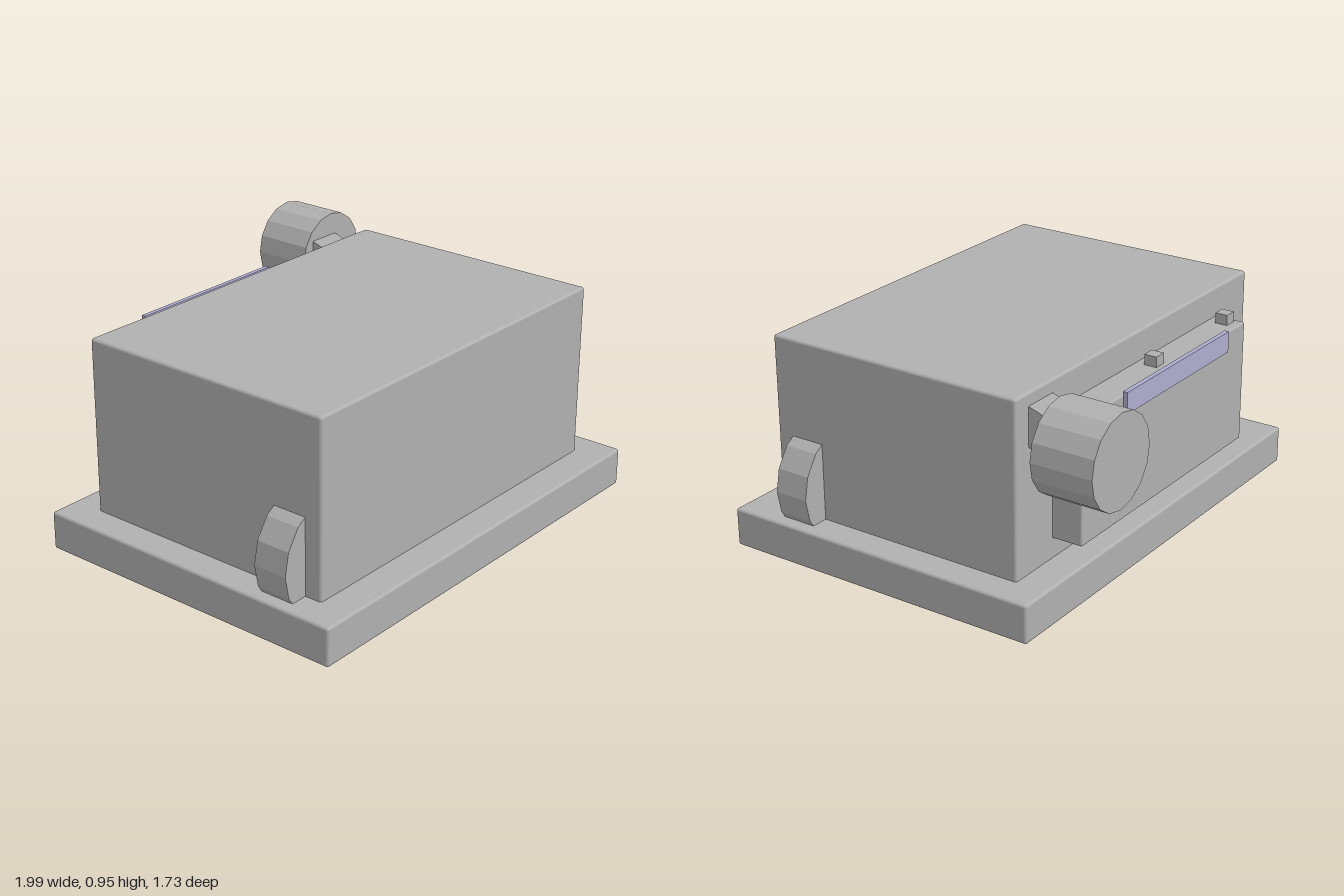
import * as THREE from 'three';
import { RoundedBoxGeometry } from 'three/addons/geometries/RoundedBoxGeometry.js';

export function createModel() {
  const model = new THREE.Group();
  model.name = 'boxyMachine';

  const grey = new THREE.MeshStandardMaterial({ color: 0xb0b0b0 });
  grey.name = 'plain grey';
  const greyFaceted = new THREE.MeshStandardMaterial({ color: 0xb0b0b0, flatShading: true });
  greyFaceted.name = 'plain grey faceted';
  const lilac = new THREE.MeshStandardMaterial({ color: 0xaeacce });
  lilac.name = 'pale lilac';

  const add = (name, geometry, material, x, y, z) => {
    const mesh = new THREE.Mesh(geometry, material);
    mesh.name = name;
    mesh.position.set(x, y, z);
    model.add(mesh);
    return mesh;
  };

  // Box given by its lower and upper corners, with softened edges
  const block = (name, lo, hi, material = grey, radius = 0.012) => {
    const s = hi.map((v, i) => v - lo[i]);
    const c = hi.map((v, i) => (v + lo[i]) / 2);
    const geometry = radius
      ? new RoundedBoxGeometry(s[0], s[1], s[2], 2, radius)
      : new THREE.BoxGeometry(s[0], s[1], s[2]);
    return add(name, geometry, material, c[0], c[1], c[2]);
  };

  // Sixteen-sided drum lying along z
  const drum = (name, radius, x, y, z0, z1) => {
    const geometry = new THREE.CylinderGeometry(radius, radius, z1 - z0, 16).rotateX(Math.PI / 2);
    return add(name, geometry, greyFaceted, x, y, (z0 + z1) / 2);
  };

  const midX = -0.0125;

  // Base slab and main housing
  block('base', [-0.995, 0, -0.57], [0.97, 0.165, 0.865]);
  block('body', [-0.865, 0.15, -0.435], [0.84, 0.91, 0.725]);

  // Half-sunk side wheels
  for (const side of [-1, 1]) {
    drum(side > 0 ? 'leftWheel' : 'rightWheel', 0.25, midX + side * 0.715, 0.29, 0.5, 0.65);
  }

  // Back panel with three pegs along its top
  block('backPanel', [-0.625, 0.25, -0.57], [0.6, 0.78, -0.42], grey, 0.008);
  for (const dx of [-0.56, 0, 0.56]) {
    const x = midX + dx;
    block('peg', [x - 0.028, 0.76, -0.53], [x + 0.028, 0.825, -0.474], grey, 0);
  }

  // Thin strip standing behind the panel
  block('strip', [-0.4, 0.73, -0.62], [0.37, 0.82, -0.6], lilac, 0);

  // Slanted arm carrying the knob
  const arm = add('knobArm', new THREE.BoxGeometry(0.142, 0.165, 0.27), grey, 0.715, 0.773, -0.52);
  arm.rotation.y = -0.42;
  drum('knob', 0.19, 0.803, 0.765, -0.868, -0.605);

  return model;
}
